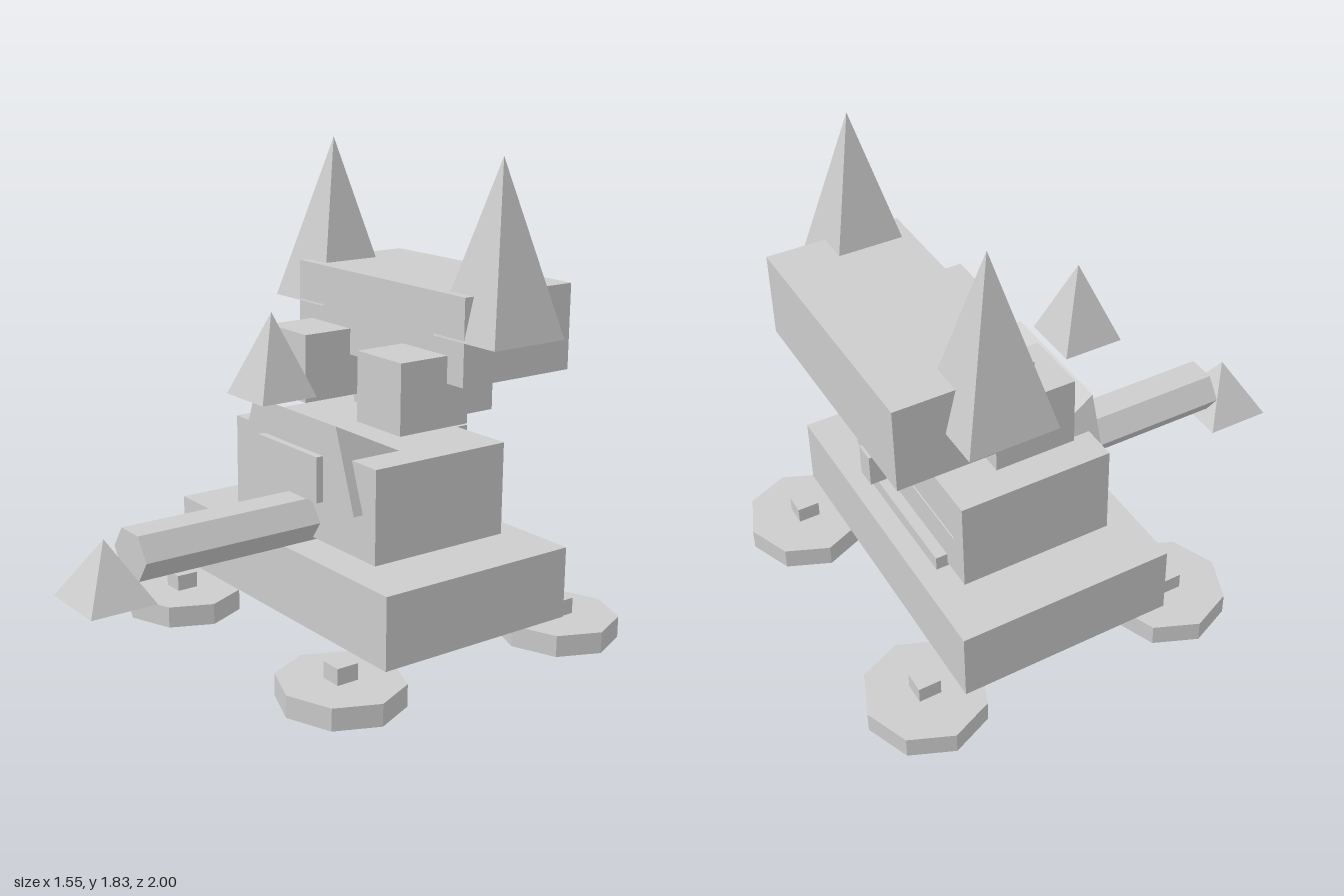
import * as THREE from 'three';
import { ConvexGeometry } from 'three/addons/geometries/ConvexGeometry.js';

const grey = new THREE.MeshStandardMaterial({ color: 0xcccccc });
grey.name = 'plain grey';
grey.flatShading = true;

export function createModel() {
  const model = new THREE.Group();
  model.name = 'blockRobot';

  const add = (name, geometry) => {
    const mesh = new THREE.Mesh(geometry, grey);
    mesh.name = name;
    model.add(mesh);
    return mesh;
  };

  // Box from its x, y and z ranges
  const box = (name, [x0, x1], [y0, y1], [z0, z1]) =>
    add(name, new THREE.BoxGeometry(x1 - x0, y1 - y0, z1 - z0)
      .translate((x0 + x1) / 2, (y0 + y1) / 2, (z0 + z1) / 2));

  // Square pyramid standing on y0, with its apex at y1
  const pyramid = (name, x, z, halfX, halfZ, y0, y1) =>
    add(name, new THREE.ConeGeometry(Math.SQRT2, y1 - y0, 4)
      .rotateY(Math.PI / 4)
      .scale(halfX, 1, halfZ)
      .translate(x, (y0 + y1) / 2, z));

  // Base and torso
  box('base', [-0.665, 0.665], [0.132, 0.405], [-0.677, 0.16]);
  box('torso', [-0.445, 0.445], [0.42, 0.775], [-0.555, 0.04]);
  box('rearBar', [-0.315, 0.315], [0.405, 0.46], [-0.6, -0.37]);
  box('tail', [0, 0.08], [0.612, 0.737], [-0.695, -0.632]);

  // Chest wedge: upright trapezoid in front, sloping down to a rear edge
  const wedge = [];
  for (const s of [-1, 1]) {
    wedge.push(
      new THREE.Vector3(s * 0.372, 0.59, 0.08),
      new THREE.Vector3(s * 0.262, 0.897, 0.08),
      new THREE.Vector3(s * 0.372, 0.59, -0.558));
  }
  add('chestWedge', new ConvexGeometry(wedge));
  box('chestPlate', [-0.188, 0.188], [0.597, 0.77], [0.03, 0.109]);

  // Head
  box('neck', [-0.2, 0.2], [0.825, 0.97], [-0.713, -0.35]);
  box('head', [-0.5, 0.5], [1.028, 1.352], [-0.81, -0.3]);
  pyramid('nose', 0, 0.174, 0.117, 0.117, 0.97, 1.275);

  // Forward arm: a flattened six-sided bar with a pyramid at its end
  add('arm', new THREE.CylinderGeometry(0.115, 0.115, 0.77, 6, 1, false, Math.PI / 2)
    .rotateX(Math.PI / 2)
    .scale(1, 0.835, 1)
    .translate(0, 0.487, 0.385));
  pyramid('armTip', 0, 0.872, 0.14, 0.128, 0.343, 0.565);

  // Mirrored parts
  for (const s of [-1, 1]) {
    const side = s > 0 ? 'left' : 'right';
    box(side + 'Eye', s > 0 ? [0.162, 0.413] : [-0.413, -0.162], [0.866, 1.13], [-0.4, -0.09]);
    pyramid(side + 'Ear', s * 0.497, -0.463, 0.163, 0.165, 1.19, 1.83);

    // Eight-sided feet with small posts
    for (const [end, z] of [['Front', 0.254], ['Rear', -0.773]]) {
      const x = s * 0.533;
      add(side + end + 'Foot', new THREE.CylinderGeometry(1, 1, 0.083, 8)
        .scale(0.24, 1, 0.228)
        .translate(x, 0.0415, z));
      box(side + end + 'Post', [x - 0.042, x + 0.042], [0.06, 0.145], [z - 0.043, z + 0.043]);
    }
  }

  return model;
}
